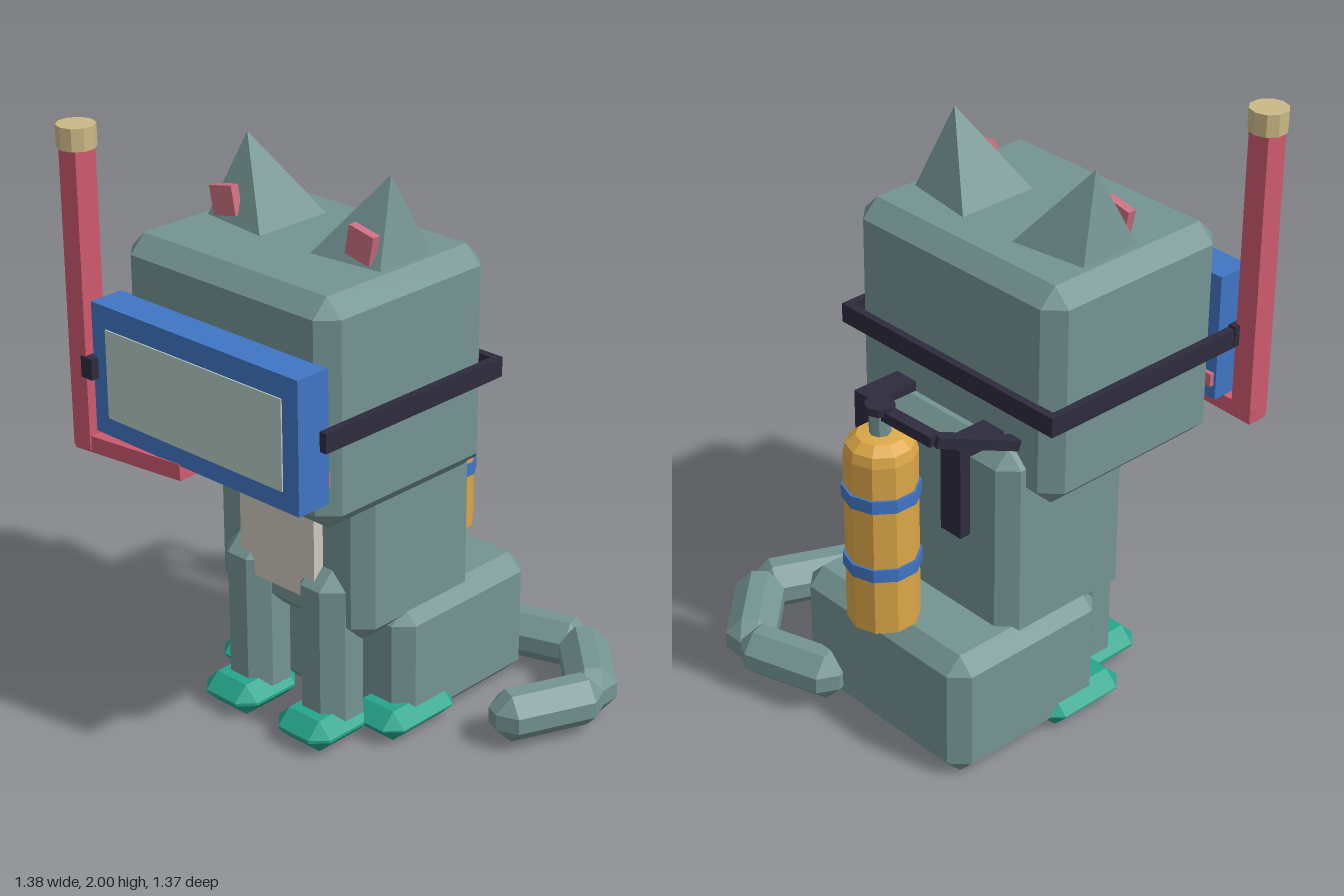
import * as THREE from 'three';
import { ConvexGeometry } from 'three/addons/geometries/ConvexGeometry.js';

const V = (x, y, z) => new THREE.Vector3(x, y, z);
const CX = -0.135; // the cat's own middle plane

function material(name, color) {
  const m = new THREE.MeshStandardMaterial({ color, flatShading: true });
  m.name = name;
  return m;
}

// Box with every edge cut off by c
function chamferBox(w, h, d, c) {
  const pts = [];
  for (const x of [-1, 1]) for (const y of [-1, 1]) for (const z of [-1, 1]) {
    const a = x * w / 2, b = y * h / 2, e = z * d / 2;
    pts.push(V(a, b - y * c, e - z * c), V(a - x * c, b, e - z * c), V(a - x * c, b - y * c, e));
  }
  return new ConvexGeometry(pts);
}

export function createModel() {
  const root = new THREE.Group();
  root.name = 'divingCat';
  const fur = material('fur', 0x749492);
  const cream = material('bellyCream', 0xcfc8be);
  const pink = material('pink', 0xcb7080);
  const blue = material('maskBlue', 0x4075c4);
  const glass = material('glass', 0xb4cbc5);
  const black = material('strapBlack', 0x2e2c3d);
  const red = material('snorkelRed', 0xcd5a6e);
  const sand = material('capSand', 0xcbb986);
  const gold = material('tankGold', 0xdca748);
  const teal = material('finTeal', 0x25a58c);

  function add(name, geometry, mat, x = 0, y = 0, z = 0) {
    const m = new THREE.Mesh(geometry, mat);
    m.name = name;
    m.position.set(x, y, z);
    root.add(m);
    return m;
  }
  // Boxes given by their limits on each axis
  const box = (name, mat, x0, x1, y0, y1, z0, z1) =>
    add(name, new THREE.BoxGeometry(x1 - x0, y1 - y0, z1 - z0), mat, (x0 + x1) / 2, (y0 + y1) / 2, (z0 + z1) / 2);
  const soft = (name, mat, c, x0, x1, y0, y1, z0, z1) =>
    add(name, chamferBox(x1 - x0, y1 - y0, z1 - z0, c), mat, (x0 + x1) / 2, (y0 + y1) / 2, (z0 + z1) / 2);
  // Bar running between two points
  function bar(name, mat, a, b, w, h, c = 0) {
    const len = a.distanceTo(b);
    const m = add(name, c ? chamferBox(w, h, len, c) : new THREE.BoxGeometry(w, h, len), mat);
    m.position.copy(a).add(b).multiplyScalar(0.5);
    m.lookAt(b);
    return m;
  }

  // Body
  soft('head', fur, 0.058, CX - 0.447, CX + 0.447, 0.9, 1.64, -0.2, 0.52);
  soft('torso', fur, 0.055, CX - 0.34, CX + 0.34, 0.375, 1.075, -0.275, 0.26);
  soft('haunches', fur, 0.055, CX - 0.38, CX + 0.38, 0.005, 0.45, -0.51, 0.115);
  box('chestPatch', cream, CX - 0.165, CX + 0.165, 0.5, 0.98, 0.25, 0.3);
  box('muzzle', cream, CX - 0.18, CX + 0.18, 0.98, 1.13, 0.51, 0.545);

  // Paired parts
  for (const s of [-1, 1]) {
    const side = s > 0 ? 'left' : 'right';
    const x = (d) => CX + s * d;
    soft(side + 'FrontLeg', fur, 0.057, x(0.165) - 0.098, x(0.165) + 0.098, 0.03, 0.61, 0.125, 0.32);
    soft(side + 'FrontFin', teal, 0.05, x(0.167) - 0.117, x(0.167) + 0.117, 0.005, 0.115, 0.13, 0.405);
    soft(side + 'HindFin', teal, 0.05, x(0.3) - 0.115, x(0.3) + 0.115, 0.01, 0.115, -0.13, 0.2);
    add(side + 'Ear', new ConvexGeometry([
      V(x(0.1), 1.63, -0.05), V(x(0.1), 1.63, 0.25),
      V(x(0.37), 1.63, 0.22), V(x(0.37), 1.63, -0.01), V(x(0.303), 1.897, 0.1),
    ]), fur);
    const inner = box(side + 'InnerEar', pink, x(0.29) - 0.05, x(0.29) + 0.05, 1.657, 1.753, 0.195, 0.225);
    inner.rotation.z = -s * 0.2;
    box(side + 'Cheek', pink, x(0.375) - 0.06, x(0.375) + 0.06, 1.065, 1.11, 0.5, 0.526);
    // Mask strap along the head
    box(side + 'MaskStrap', black, x(0.46) - 0.013, x(0.46) + 0.013, 1.2, 1.265, -0.2, 0.555);
    // Tank harness
    box(side + 'HarnessTop', black, x(0.197) - 0.044, x(0.197) + 0.044, 1.077, 1.11, -0.375, 0);
    box(side + 'HarnessBack', black, x(0.197) - 0.044, x(0.197) + 0.044, 0.8, 1.11, -0.375, -0.335);
  }
  box('maskStrapBack', black, CX - 0.472, CX + 0.472, 1.2, 1.265, -0.225, -0.198);

  // Tail
  const tail = [
    [V(0.04, 0.108, -0.505), V(0.405, 0.108, -0.625)],
    [V(0.367, 0.108, -0.637), V(0.64, 0.108, -0.363)],
    [V(0.637, 0.108, -0.396), V(0.481, 0.108, -0.045)],
  ];
  tail.forEach(([a, b], i) => bar('tailSegment' + (i + 1), fur, a, b, 0.165, 0.165, 0.055));

  // Diving mask
  box('maskFrame', blue, CX - 0.444, CX + 0.444, 1.017, 1.45, 0.515, 0.64);
  box('maskGlass', glass, CX - 0.38, CX + 0.38, 1.08, 1.375, 0.637, 0.645);

  // Snorkel
  box('snorkelTube', red, -0.67, -0.593, 0.95, 1.93, 0.58, 0.66);
  bar('snorkelArm', red, V(-0.67, 0.965, 0.62), V(-0.2, 0.995, 0.605), 0.075, 0.055);
  add('snorkelCap', new THREE.CylinderGeometry(0.062, 0.062, 0.072, 10), sand, -0.632, 1.964, 0.62);
  box('snorkelClip', black, -0.608, -0.558, 1.2, 1.27, 0.56, 0.668);
  box('mouthpiece', black, -0.23, -0.03, 1.005, 1.03, 0.545, 0.61);
  for (let i = 0; i < 4; i++) {
    const nub = add('mouthpieceNub', new THREE.ConeGeometry(0.028, 0.04, 4), black, -0.2 + i * 0.05, 1.0, 0.585);
    nub.rotation.x = Math.PI;
  }

  // Air tank
  const TZ = -0.478;
  const profile = [[0, 0.45], [0.115, 0.45], [0.115, 1.05], [0.107, 1.083], [0.075, 1.11], [0, 1.118]];
  add('airTank', new THREE.LatheGeometry(profile.map(([r, y]) => new THREE.Vector2(r, y)), 10), gold, CX, 0, TZ);
  for (const y of [0.668, 0.917])
    add('tankBand', new THREE.CylinderGeometry(0.123, 0.123, 0.044, 10), blue, CX, y, TZ);
  add('tankNeck', new THREE.CylinderGeometry(0.034, 0.034, 0.1, 8), fur, CX, 1.145, TZ);
  add('tankValve', new THREE.CylinderGeometry(0.047, 0.047, 0.026, 8), black, CX, 1.202, TZ);
  const hose = [V(CX, 1.19, TZ), V(-0.355, 1.175, -0.455), V(-0.435, 1.095, -0.2)];
  for (let i = 0; i < 2; i++) bar('airHose', black, hose[i], hose[i + 1], 0.042, 0.035);

  return root;
}
